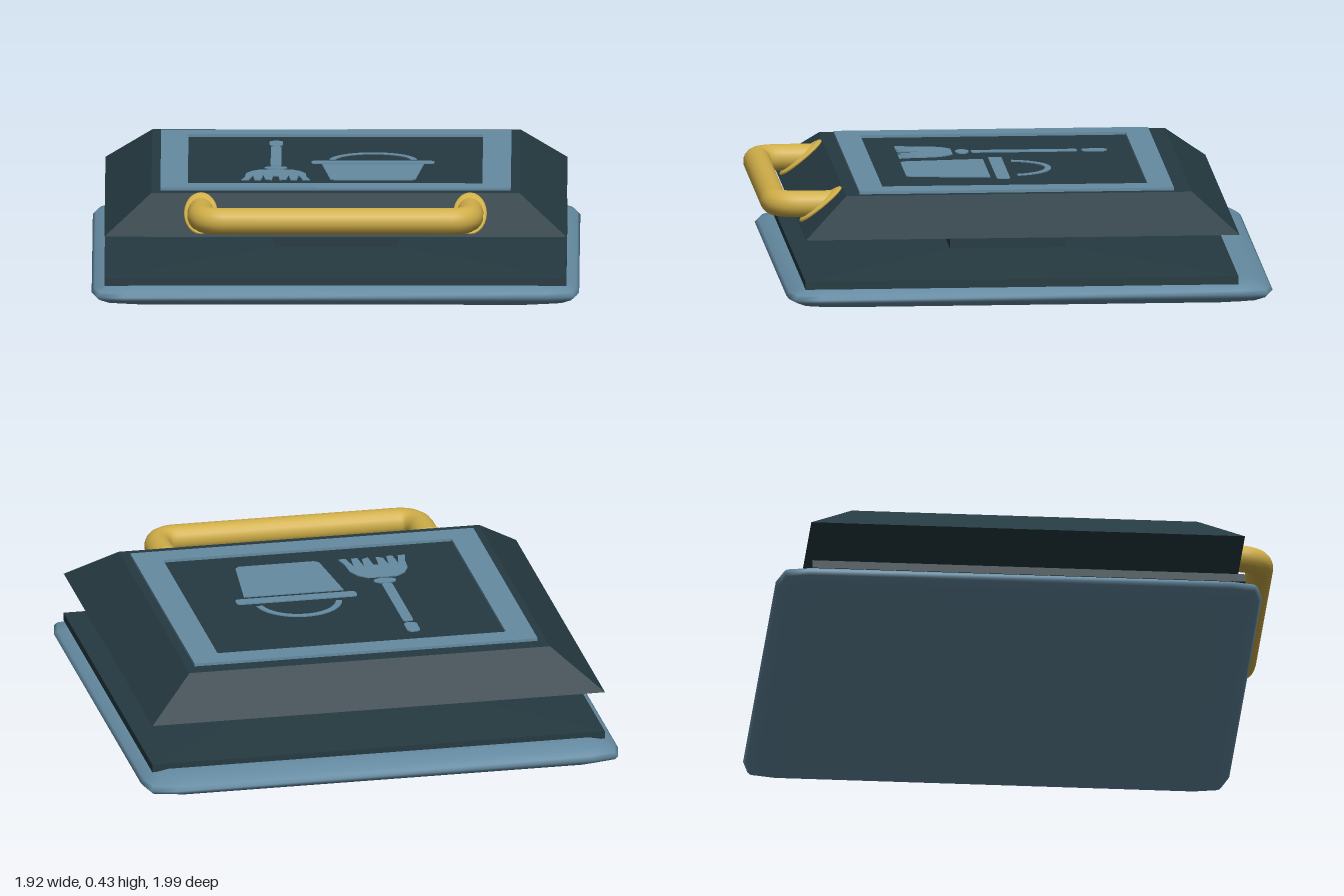
import * as THREE from 'three';

const blue = new THREE.MeshStandardMaterial({ name: 'slate blue', color: 0x658ba2 });
const dark = new THREE.MeshStandardMaterial({ name: 'dark teal', color: 0x253a41 });
const gold = new THREE.MeshStandardMaterial({ name: 'brass', color: 0xd0ae48 });

// Skins a stack of closed rings (counter-clockwise from above) and caps both ends
function loft(rings, smooth) {
  const n = rings[0].length, pos = rings.flat(2), idx = [];
  for (let i = 0; i < rings.length - 1; i++) {
    for (let j = 0; j < n; j++) {
      const a = i * n + j, b = i * n + (j + 1) % n;
      idx.push(a, b, b + n, a, b + n, a + n);
    }
  }
  const top = (rings.length - 1) * n;
  for (let j = 1; j < n - 1; j++) {
    idx.push(top, top + j, top + j + 1);
    idx.push(0, j + 1, j);
  }
  let g = new THREE.BufferGeometry();
  g.setAttribute('position', new THREE.Float32BufferAttribute(pos, 3));
  g.setIndex(idx);
  if (!smooth) g = g.toNonIndexed();
  g.computeVertexNormals();
  return g;
}

// Rectangular ring at height y
const rect = (y, hx, back, front) =>
  [[hx, y, front], [hx, y, back], [-hx, y, back], [-hx, y, front]];

// Chamfered cushion outline, inset by d
function cushionRing(y, d) {
  const corner = [[0.96, 0.84], [0.94, 0.935], [0.84, 0.96]];
  const flip = corner.slice().reverse();
  const s = 1 - d / 0.96;
  const pts = [
    ...flip.map(([x, z]) => [x, z]), ...corner.map(([x, z]) => [x, -z]),
    ...flip.map(([x, z]) => [-x, -z]), ...corner.map(([x, z]) => [-x, z]),
  ];
  return pts.map(([x, z]) => [x * s, y, z * s - 0.04]);
}

// Flat shape drawn as [x, z] points, laid on the top face
function plate(shape, y, depth) {
  const g = new THREE.ExtrudeGeometry(shape, { depth, bevelEnabled: false, curveSegments: 16 });
  return g.rotateX(-Math.PI / 2).translate(0, y, 0);
}
const poly = (pts) => new THREE.Shape(pts.map(([x, z]) => new THREE.Vector2(x, -z)));
const box = (x0, x1, z0, z1) => [[x0, z1], [x1, z1], [x1, z0], [x0, z0]];

function roundBar(x0, x1, z0, z1, r) {
  const s = new THREE.Shape();
  s.absarc(x1 - r, -z0 - r, r, 0, Math.PI / 2);
  s.absarc(x0 + r, -z0 - r, r, Math.PI / 2, Math.PI);
  s.absarc(x0 + r, -z1 + r, r, Math.PI, Math.PI * 1.5);
  s.absarc(x1 - r, -z1 + r, r, Math.PI * 1.5, Math.PI * 2);
  return s;
}

export function createModel() {
  const model = new THREE.Group();
  const add = (name, geometry, material, parent = model) => {
    const m = new THREE.Mesh(geometry, material);
    m.name = name;
    parent.add(m);
    return m;
  };

  // Rounded base cushion
  const profile = [[0, 0.14], [0, 0.1], [0.012, 0.05], [0.03, 0.012], [0.045, 0],
    [0.06, 0.012], [0.078, 0.05], [0.09, 0.1], [0.09, 0.14]];
  add('baseCushion', loft(profile.map(([y, d]) => cushionRing(y, d)), true), blue);

  // Lower plate, stem and sloped lid
  add('lowerPlate', loft([rect(0.08, 0.91, -0.86, 0.85), rect(0.112, 0.91, -0.86, 0.85),
    rect(0.12, 0.25, -0.24, 0.23)]), dark);
  add('stem', new THREE.BoxGeometry(0.49, 0.18, 0.46).translate(0, 0.195, 0), dark);
  add('lid', loft([rect(0.271, 0.25, -0.24, 0.23), rect(0.277, 0.91, -0.865, 0.848),
    rect(0.42, 0.725, -0.69, 0.675)]), dark);

  // Raised frame on the lid
  const frame = poly(box(-0.69, 0.69, -0.622, 0.62));
  frame.holes.push(poly(box(-0.582, 0.578, -0.525, 0.522)));
  add('lidFrame', plate(frame, 0.418, 0.013), blue);

  // Broom emblem
  const broom = new THREE.Group();
  broom.name = 'broomEmblem';
  model.add(broom);
  const emblem = (name, shape, parent) => add(name, plate(shape, 0.419, 0.005), blue, parent);
  const bx = -0.236;
  emblem('broomTip', roundBar(bx - 0.026, bx + 0.026, -0.425, -0.325, 0.022), broom);
  emblem('broomStick', roundBar(bx - 0.021, bx + 0.021, -0.307, 0.112, 0.012), broom);
  const collar = new THREE.Shape();
  collar.absellipse(bx, -0.147, 0.045, 0.027, 0, Math.PI * 2);
  emblem('broomCollar', collar, broom);
  const side = [[0.06, 0.188], [0.095, 0.22], [0.117, 0.27], [0.122, 0.35], [0.135, 0.405]];
  const bristles = [[0.105, 0.405], [0.09, 0.32], [0.083, 0.405], [0.058, 0.405],
    [0.05, 0.31], [0.042, 0.39], [0.015, 0.405], [0.01, 0.32]];
  const half = [...side, ...bristles];
  emblem('broomHead', poly([
    ...half.map(([x, z]) => [bx + x, z]),
    ...half.slice().reverse().map(([x, z]) => [bx - x, z]),
  ].reverse()), broom);

  // Pail emblem
  const pail = new THREE.Group();
  pail.name = 'pailEmblem';
  model.add(pail);
  emblem('pailRim', roundBar(-0.097, 0.388, 0.002, 0.055, 0.015), pail);
  emblem('pailBody', poly([[-0.055, 0.078], [-0.022, 0.39], [-0.005, 0.407],
    [0.298, 0.407], [0.315, 0.39], [0.346, 0.078]]), pail);
  const bail = new THREE.Shape();
  bail.absarc(0.146, 0.002, 0.175, 0.18, Math.PI - 0.18, false);
  bail.absarc(0.146, 0.002, 0.15, Math.PI - 0.18, 0.18, true);
  emblem('pailBail', bail, pail);

  // Front pull handle with rounded corners
  const V = (x, z) => new THREE.Vector3(x, 0.357, z);
  const path = new THREE.CurvePath();
  path.add(new THREE.LineCurve3(V(-0.53, 0.7), V(-0.53, 0.845)));
  path.add(new THREE.QuadraticBezierCurve3(V(-0.53, 0.845), V(-0.525, 0.942), V(-0.44, 0.942)));
  path.add(new THREE.LineCurve3(V(-0.44, 0.942), V(0.44, 0.942)));
  path.add(new THREE.QuadraticBezierCurve3(V(0.44, 0.942), V(0.525, 0.942), V(0.53, 0.845)));
  path.add(new THREE.LineCurve3(V(0.53, 0.845), V(0.53, 0.7)));
  add('handle', new THREE.TubeGeometry(path, 90, 0.053, 18, false), gold);

  // Oval collars lying on the sloped front face
  for (const s of [-1, 1]) {
    const c = add(s > 0 ? 'leftHandleCollar' : 'rightHandleCollar',
      new THREE.SphereGeometry(1, 24, 12), gold);
    c.scale.set(0.067, 0.018, 0.108);
    c.rotation.x = Math.atan2(0.143, 0.173);
    c.position.set(s * 0.53, 0.355, 0.762);
  }
  return model;
}
